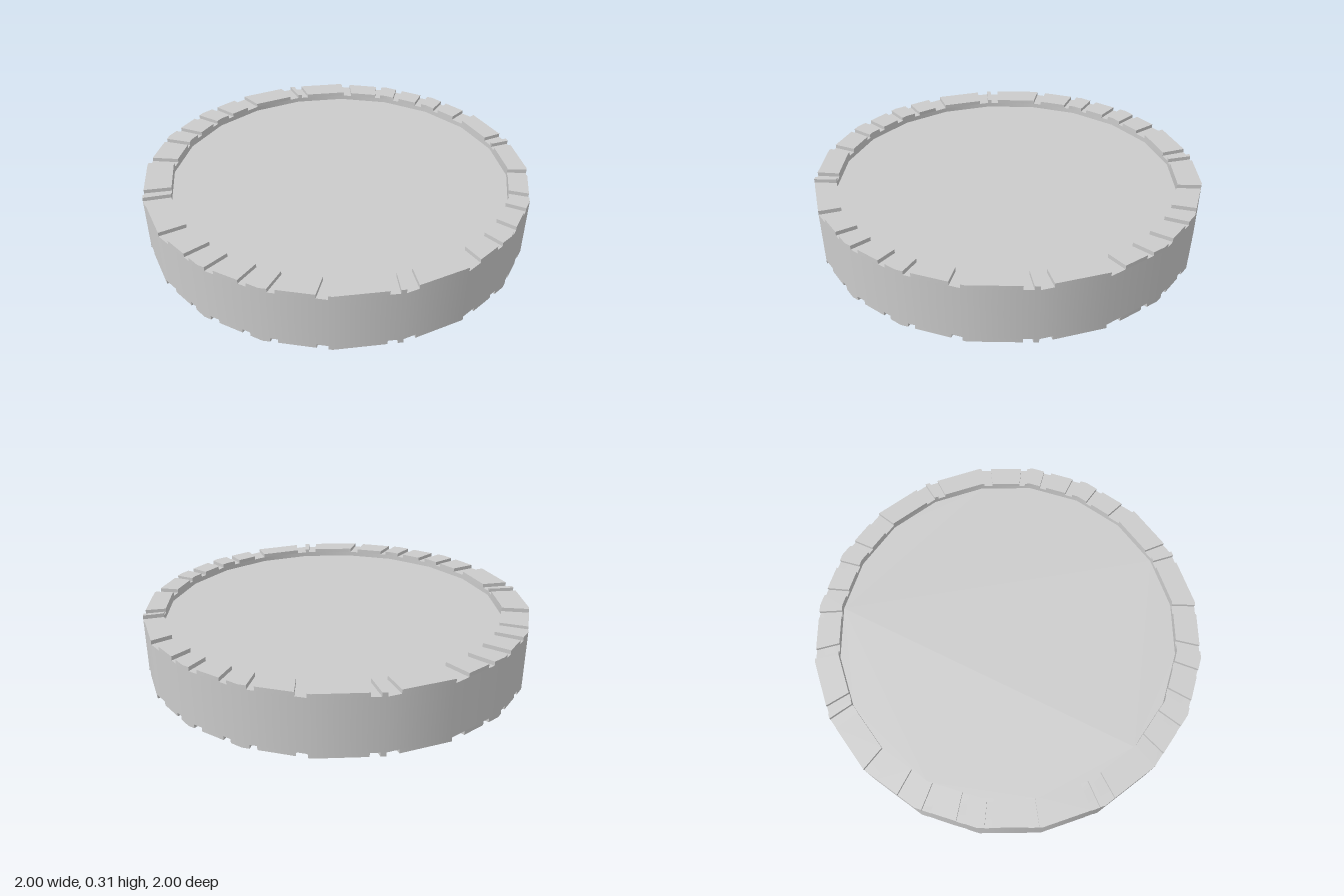
import * as THREE from 'three';
import { toCreasedNormals } from 'three/addons/utils/BufferGeometryUtils.js';

const STEP = 18; // the coin is a twenty-sided disc
const HEIGHT = 0.31, NOTCH = 0.02, RECESS = 0.045;
const INNER = { r: 0.88, x: 0.017, y: 0.01 }; // recess sits slightly off centre
const OUTER = { r: 1, x: 0, y: 0 };

// Notches in the rim over one quarter turn, [start, end] in degrees
const NOTCHES = [
  [2, 4.7], [12, 14.4], [20, 22], [32, 35],
  [50, 52.6], [54, 57.5], [72, 76.6], [84, 86.2],
];

// Point on a twenty-sided polygon at a given angle
function edgePoint(ring, deg) {
  const rad = THREE.MathUtils.degToRad;
  const local = ((deg % STEP) + STEP) % STEP;
  const r = ring.r * Math.cos(rad(STEP / 2)) / Math.cos(rad(local - STEP / 2));
  return new THREE.Vector2(ring.x + r * Math.cos(rad(deg)), ring.y + r * Math.sin(rad(deg)));
}

// Points along the polygon between two angles, including its corners
function arc(ring, from, to) {
  const pts = [edgePoint(ring, from)];
  for (let a = (Math.floor(from / STEP) + 1) * STEP; a < to - 1e-6; a += STEP) pts.push(edgePoint(ring, a));
  pts.push(edgePoint(ring, to));
  return pts;
}

// Upright prism between two heights, with softened wall corners
function prism(shape, y0, y1) {
  let geo = new THREE.ExtrudeGeometry(shape, { depth: y1 - y0, bevelEnabled: false });
  geo.rotateX(-Math.PI / 2).translate(0, y0, 0);
  geo = toCreasedNormals(geo, 0.5);
  // outer wall shades continuously across rim and teeth
  const p = geo.attributes.position, n = geo.attributes.normal;
  for (let i = 0; i < p.count; i++) {
    const x = p.getX(i), z = p.getZ(i), r = Math.hypot(x, z);
    if ((n.getX(i) * x + n.getZ(i) * z) / r > 0.9) n.setXYZ(i, x / r, 0, z / r);
  }
  return geo;
}

export function createModel() {
  const model = new THREE.Group();
  model.name = 'notchedDisc';
  const material = new THREE.MeshStandardMaterial({ color: 0xcccccc });
  const add = (parent, name, geo) => {
    const mesh = new THREE.Mesh(geo, material);
    mesh.name = name;
    parent.add(mesh);
  };

  // Rim ring
  const ring = new THREE.Shape(arc(OUTER, 0, 360).slice(0, -1));
  ring.holes.push(new THREE.Path(arc(INNER, 0, 360).slice(0, -1).reverse()));
  add(model, 'rim', prism(ring, NOTCH, HEIGHT - NOTCH));

  // Recessed faces
  const disc = new THREE.Shape(arc(INNER, 0, 360).slice(0, -1));
  add(model, 'recessedCore', prism(disc, RECESS, HEIGHT - RECESS));

  // Raised teeth between the notches, on both faces
  const topTeeth = new THREE.Group(), bottomTeeth = new THREE.Group();
  topTeeth.name = 'topTeeth';
  bottomTeeth.name = 'bottomTeeth';
  model.add(topTeeth, bottomTeeth);
  for (let quarter = 0; quarter < 360; quarter += 90) {
    NOTCHES.forEach(([, end], i) => {
      const next = i + 1 < NOTCHES.length ? NOTCHES[i + 1][0] : NOTCHES[0][0] + 90;
      const from = quarter + end, to = quarter + next;
      const tooth = new THREE.Shape([...arc(OUTER, from, to), ...arc(INNER, from, to).reverse()]);
      add(topTeeth, 'tooth', prism(tooth, HEIGHT - NOTCH, HEIGHT));
      add(bottomTeeth, 'tooth', prism(tooth, 0, NOTCH));
    });
  }
  return model;
}
